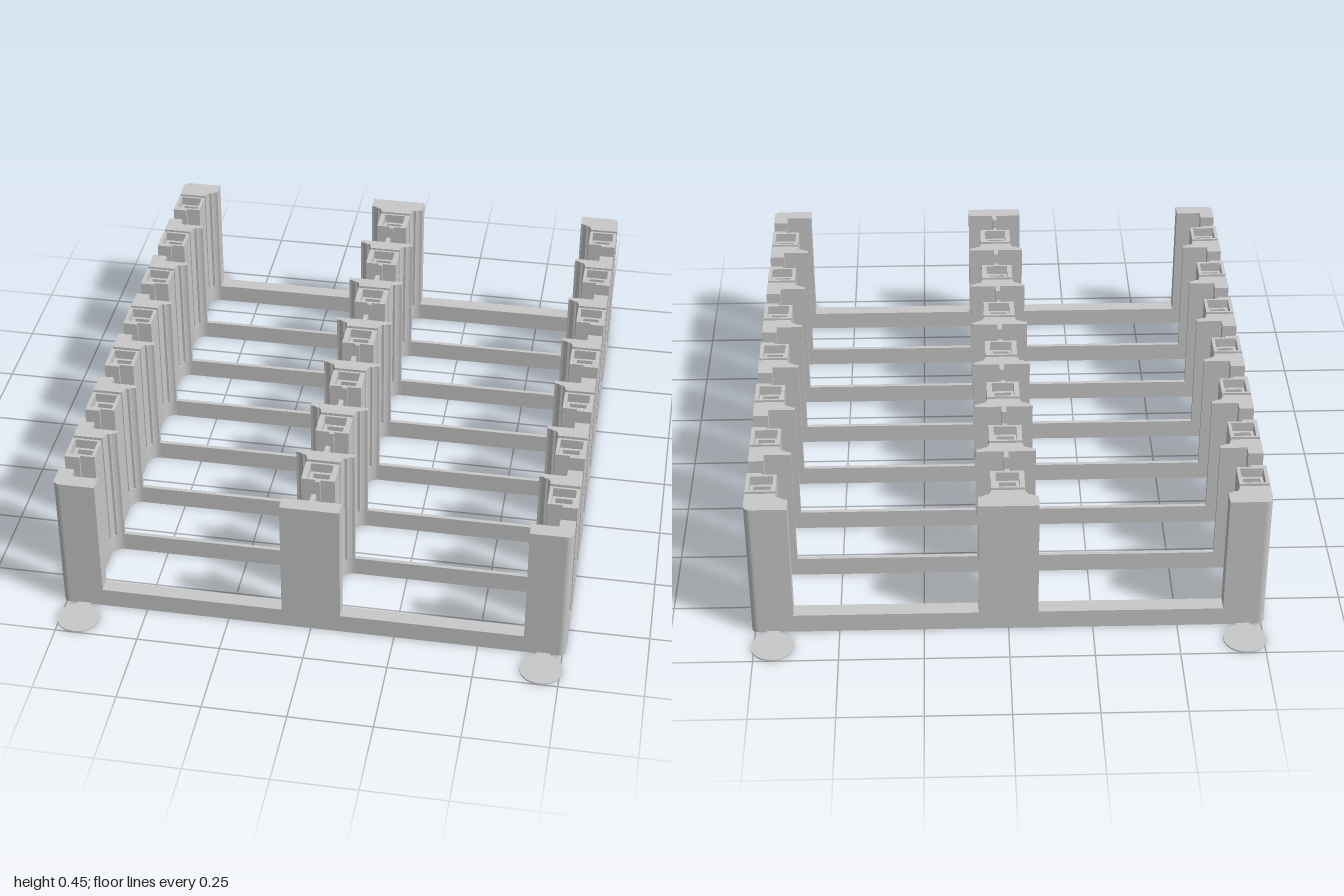
import * as THREE from 'three';

const BASE_H = 0.06, TOP = 0.449, HALF_X = 0.76, HALF_Z = 0.867;
const COL_X = 0.715, WALL = HALF_X - COL_X, RIB = 0.007;
const STEM = 0.05, FLANGE = 0.088, SIDE_STEM = 0.044, SIDE_FLANGE = 0.08;
const COUNT = 7, PITCH = 0.2363, FIRST = -0.736;
const slotZ = (i) => FIRST + i * PITCH;

// quarter arc points around (cx, cz)
function arc(cx, cz, r, a0, a1, n = 6) {
  return Array.from({ length: n + 1 }, (_, k) => {
    const a = a0 + ((a1 - a0) * k) / n;
    return [cx + r * Math.cos(a), cz + r * Math.sin(a)];
  });
}

// plan points to shape points, always counter-clockwise
function toVec(pts) {
  const v = pts.map(([x, z]) => new THREE.Vector2(x, -z));
  return THREE.ShapeUtils.isClockWise(v) ? v.reverse() : v;
}

// upright prism from a plan outline given as [x, z] points
function prism(pts, y0, y1, holes = []) {
  const shape = new THREE.Shape(toVec(pts));
  holes.forEach((h) => shape.holes.push(new THREE.Path(toVec(h).reverse())));
  const g = new THREE.ExtrudeGeometry(shape, { depth: y1 - y0, bevelEnabled: false });
  g.rotateX(-Math.PI / 2);
  g.translate(0, y0, 0);
  return g;
}

const square = (x, z, h) => [[x - h, z - h], [x + h, z - h], [x + h, z + h], [x - h, z + h]];
const circle = (x, z, r) => arc(x, z, r, 0, Math.PI * 2, 20).slice(0, -1);

export function createModel() {
  const group = new THREE.Group();
  const grey = new THREE.MeshStandardMaterial({ color: 0xc8c8c8 });
  grey.name = 'light grey';
  const add = (name, geometry) => {
    const mesh = new THREE.Mesh(geometry, grey);
    mesh.name = name;
    group.add(mesh);
  };
  const P = Math.PI, R = 0.02;
  const columns = [[-COL_X, 1, true], [0, 1, false], [COL_X, -1, true]];

  // base frame with filleted windows and screw holes
  const holes = [];
  for (let i = 0; i < COUNT; i++) {
    const c = slotZ(i);
    for (const s of [-1, 1]) {
      const r = FLANGE - STEM, rs = SIDE_FLANGE - SIDE_STEM, outer = COL_X - SIDE_STEM;
      holes.push([
        ...arc(FLANGE, c - 0.083 + r, r, P, P * 1.5),
        ...arc(COL_X - SIDE_FLANGE, c - 0.083 + rs, rs, P * 1.5, P * 2),
        [outer, c + 0.042], [COL_X, c + 0.042], [COL_X, c + 0.1405],
        [RIB, c + 0.1405], [RIB, c + 0.042], [STEM, c + 0.042],
      ].map(([x, z]) => [x * s, z]));
    }
    columns.forEach(([x]) => holes.push(circle(x, c, 0.015)));
  }
  add('baseFrame', prism([
    ...arc(HALF_X - R, HALF_Z - R, R, 0, P / 2),
    ...arc(-HALF_X + R, HALF_Z - R, R, P / 2, P),
    ...arc(-HALF_X + R, -HALF_Z + R, R, P, P * 1.5),
    ...arc(HALF_X - R, -HALF_Z + R, R, P * 1.5, P * 2),
  ], 0, BASE_H, holes));

  for (const [x0, dir, isSide] of columns) {
    const rib = isSide ? 0 : RIB;
    const stem = isSide ? SIDE_STEM : STEM, flange = isSide ? SIDE_FLANGE : FLANGE;
    // outline from an inner profile and either its mirror or the flat outer wall
    const outline = (profile, wall) => {
      const other = isSide ? wall : profile.map(([x, z]) => [-x, z]);
      return [...profile, ...other.slice().reverse()].map(([x, z]) => [x0 + dir * x, z]);
    };

    for (let i = 0; i < COUNT; i++) {
      const c = slotZ(i), first = i === 0, r = flange - stem;
      const back = first ? -HALF_Z : c - 0.0958;

      // divider: thin rib, flange, fillet and stem
      const start = first ? [] : [[rib, c - 0.126], [rib, back]];
      const divider = [...start, [flange, back],
        ...arc(flange, c - 0.083 + r * 0.8, r * 0.8, P * 1.5, P * 1.25, 3),
        ...arc(stem + r * 0.8, c - 0.083 + r * 0.8, r * 0.8, P * 1.25, P, 3), [stem, c - 0.052]];
      const wall = first
        ? [...arc(-WALL + R, back + R, R, P * 1.5, P), [-WALL, c - 0.052]]
        : [[-WALL, c - 0.126], [-WALL, c - 0.052]];
      add('divider', prism(outline(divider, wall), BASE_H, TOP));

      // hollow post with a stepped square socket
      const post = [[stem, c - 0.041], [stem, c + 0.042], [rib, c + 0.042], [rib, c + 0.051]];
      const postOutline = outline(post, [[-WALL, c - 0.041], [-WALL, c + 0.051]]);
      add('post', prism(postOutline, BASE_H, TOP - 0.03, [square(x0, c, 0.025)]));
      add('postSocket', prism(postOutline, TOP - 0.03, TOP, [square(x0, c, 0.034)]));
    }

    // front end tower
    const front = [[rib, 0.79], [rib, 0.822], [flange, 0.822], [flange, HALF_Z]];
    const frontWall = [[-WALL, 0.79], ...arc(-WALL + R, HALF_Z - R, R, P, P / 2)];
    add('frontTower', prism(outline(front, frontWall), BASE_H, TOP));
  }

  // thin corner discs with short tabs
  for (const sx of [-1, 1]) {
    for (const sz of [-1, 1]) {
      const disc = new THREE.CylinderGeometry(0.064, 0.064, 0.004, 40);
      disc.translate(sx * 0.695, 0.002, sz * 0.936);
      add('cornerDisc', disc);
      const tab = new THREE.BoxGeometry(0.04, 0.0036, 0.03);
      tab.translate(sx * 0.695, 0.0019, sz * 0.872);
      add('cornerTab', tab);
    }
  }
  return group;
}
